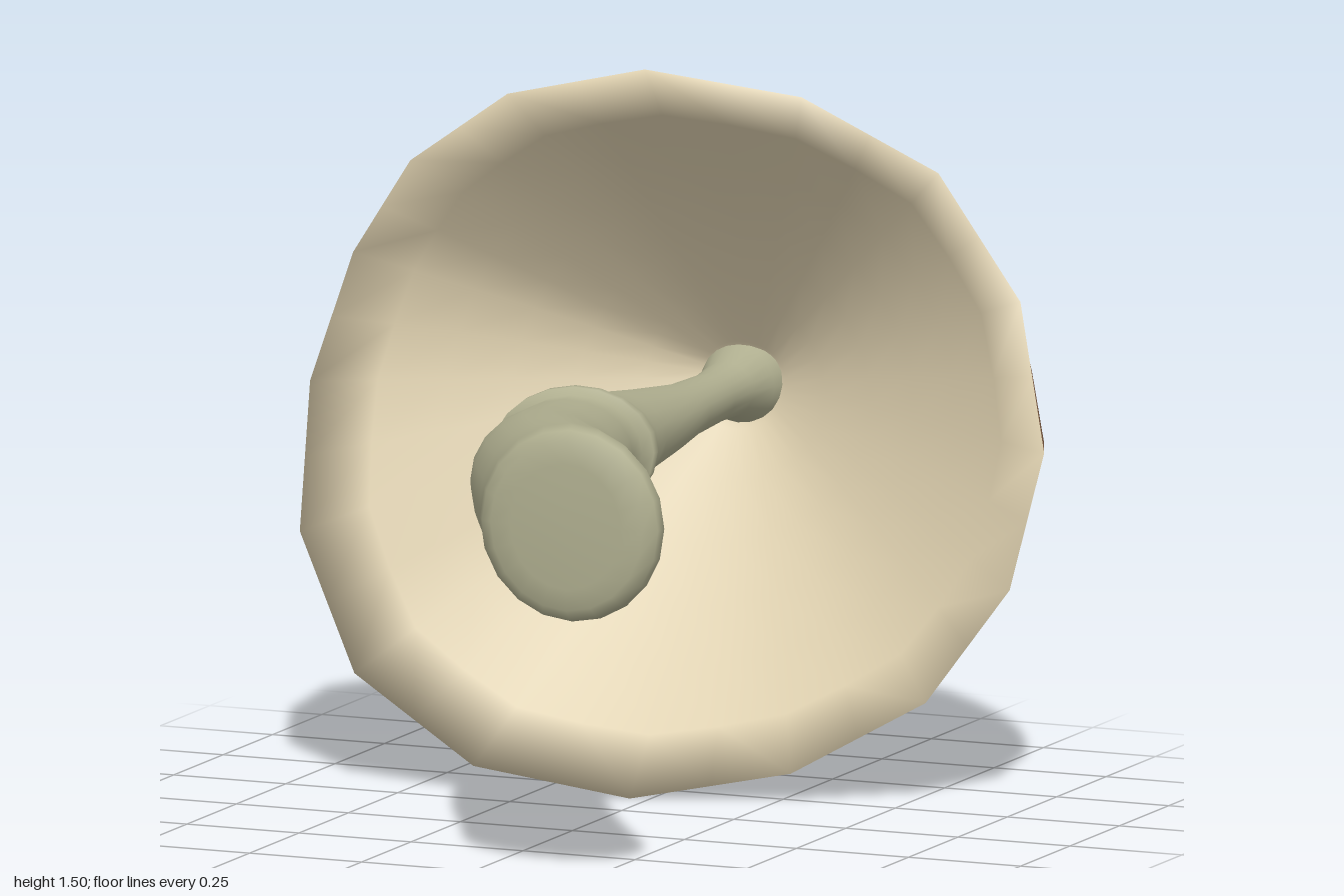
import * as THREE from 'three';
import { mergeVertices } from 'three/addons/utils/BufferGeometryUtils.js';

const material = (name, color) => new THREE.MeshStandardMaterial({ name, color });

// Smooth skin over a list of closed rings, each an array of [x, y, z].
// With two materials, the second one starts at ring number `change`.
function loft(name, rings, mat, change) {
  const n = rings[0].length, index = [];
  for (let i = 0; i < rings.length - 1; i++) {
    for (let j = 0; j < n; j++) {
      const a = i * n + j, b = i * n + (j + 1) % n;
      index.push(a, b, a + n, b, b + n, a + n);
    }
  }
  let geo = new THREE.BufferGeometry();
  geo.setAttribute('position', new THREE.Float32BufferAttribute(rings.flat(2), 3));
  geo.setIndex(index);
  geo = mergeVertices(geo, 1e-5);
  geo.computeVertexNormals();
  if (change) {
    geo.addGroup(0, change * n * 6, 0);
    geo.addGroup(change * n * 6, index.length - change * n * 6, 1);
  }
  const mesh = new THREE.Mesh(geo, mat);
  mesh.name = name;
  return mesh;
}

// Wavy rim of the cap, counter-clockwise seen from the front
const RIM = [
  [0.775, 0.74, -0.38], [0.7, 1.04, -0.43], [0.53, 1.3, -0.4], [0.28, 1.46, -0.275],
  [-0.03, 1.51, -0.185], [-0.33, 1.44, -0.17], [-0.56, 1.28, -0.2], [-0.71, 1.07, -0.25],
  [-0.775, 0.81, -0.18], [-0.745, 0.52, -0.06], [-0.61, 0.24, -0.03], [-0.36, 0.06, -0.065],
  [-0.04, 0.005, -0.13], [0.28, 0.065, -0.22], [0.55, 0.22, -0.29], [0.72, 0.46, -0.33],
].map((p) => new THREE.Vector3(...p));
const RIM_CURVE = new THREE.CatmullRomCurve3(RIM, true, 'catmullrom');
const SPLIT = 2;

// Ring between a centre and the rim: straight-sided at the rim, rounder inside.
// r = spread, zAt(rim z, share of vertical direction) = height of the ring
function capRing(cx, cy, r, zAt) {
  return Array.from({ length: RIM.length * SPLIT }, (_, i) => {
    const s = Math.floor(i / SPLIT);
    const p = RIM_CURVE.getPoint(i / (RIM.length * SPLIT));
    const edge = RIM[s].clone().lerp(RIM[(s + 1) % RIM.length], (i % SPLIT) / SPLIT);
    p.lerp(edge, r ** 3);
    const dx = p.x - cx, dy = p.y - cy;
    return [cx + dx * r, cy + dy * r, zAt(p.z, dy * dy / (dx * dx + dy * dy))];
  });
}

export function createModel() {
  const group = new THREE.Group();
  group.name = 'mushroom';
  const brown = material('cap brown', 0x825f45);
  const cream = material('gill cream', 0xddcfae);
  const sage = material('stem sage', 0xafae8f);

  // Cap dome: spread, depth at the sides, depth at top and bottom
  const dome = [
    [0, 0, 0], [0.09, 0.003, 0.006], [0.18, 0.014, 0.025], [0.265, 0.031, 0.054],
    [0.345, 0.053, 0.092], [0.425, 0.082, 0.138], [0.5, 0.118, 0.192], [0.57, 0.161, 0.25],
    [0.64, 0.213, 0.315], [0.74, 0.303, 0.425], [0.82, 0.392, 0.525], [0.92, 0.55, 0.685], [1, 0.72, 0.84],
  ].map(([r, side, vert]) => capRing(0.045, 0.73, r, (rimZ, k) => {
    const rimDepth = 0.72 + 0.12 * k;
    return -1 + side + (vert - side) * k + (rimZ + 1 - rimDepth) * r ** 6;
  }));

  // Hollow conical underside, rim to centre
  const gills = [1, 0.85, 0.7, 0.55, 0.4, 0.25, 0.12, 0]
    .map((r) => capRing(-0.05, 0.77, r, (rimZ) => -0.76 + (rimZ + 0.76) * (r - 0.12 * r * (1 - r))));
  group.add(loft('cap', [...dome, ...gills.slice(1)], [brown, cream], dome.length - 1));

  // Curved stem with a slanted collar: x, y, z, half width, half height, slant
  const stem = [
    [-0.05, 0.77, -0.76, 0.1, 0.1, 0], [-0.05, 0.77, -0.7, 0.082, 0.08, 0],
    [-0.05, 0.768, -0.64, 0.062, 0.058, 0], [-0.045, 0.766, -0.55, 0.056, 0.052, 0],
    [-0.042, 0.766, -0.39, 0.068, 0.056, 0], [-0.037, 0.77, -0.2, 0.095, 0.075, 0.02],
    [-0.034, 0.775, 0, 0.115, 0.097, 0.045], [-0.026, 0.778, 0.11, 0.134, 0.113, 0.06],
    [-0.022, 0.779, 0.155, 0.145, 0.125, 0.062], [-0.02, 0.78, 0.188, 0.156, 0.138, 0.062],
    [-0.02, 0.78, 0.203, 0.154, 0.137, 0.062], [-0.018, 0.78, 0.213, 0.131, 0.121, 0.06],
    [-0.015, 0.78, 0.26, 0.129, 0.121, 0.06], [0.017, 0.78, 0.4, 0.138, 0.135, 0.06],
    [0.052, 0.78, 0.5, 0.143, 0.147, 0.06], [0.102, 0.781, 0.6, 0.15, 0.159, 0.055],
    [0.16, 0.782, 0.7, 0.158, 0.171, 0.05], [0.22, 0.782, 0.8, 0.169, 0.183, 0.04],
    [0.278, 0.782, 0.89, 0.186, 0.197, 0.025], [0.306, 0.782, 0.945, 0.199, 0.204, 0.015],
    [0.313, 0.782, 0.972, 0.191, 0.198, 0.012], [0.312, 0.782, 0.988, 0.165, 0.175, 0.01],
    [0.312, 0.782, 0.993, 0.12, 0.13, 0.008], [0.312, 0.782, 0.997, 0, 0, 0],
  ].map(([x, y, z, rx, ry, slant]) => Array.from({ length: 20 }, (_, j) => {
    const a = j * Math.PI / 10;
    return [x + rx * Math.cos(a), y + ry * Math.sin(a), z - slant * Math.cos(a)];
  }));
  group.add(loft('stem', stem, sage));

  return group;
}
